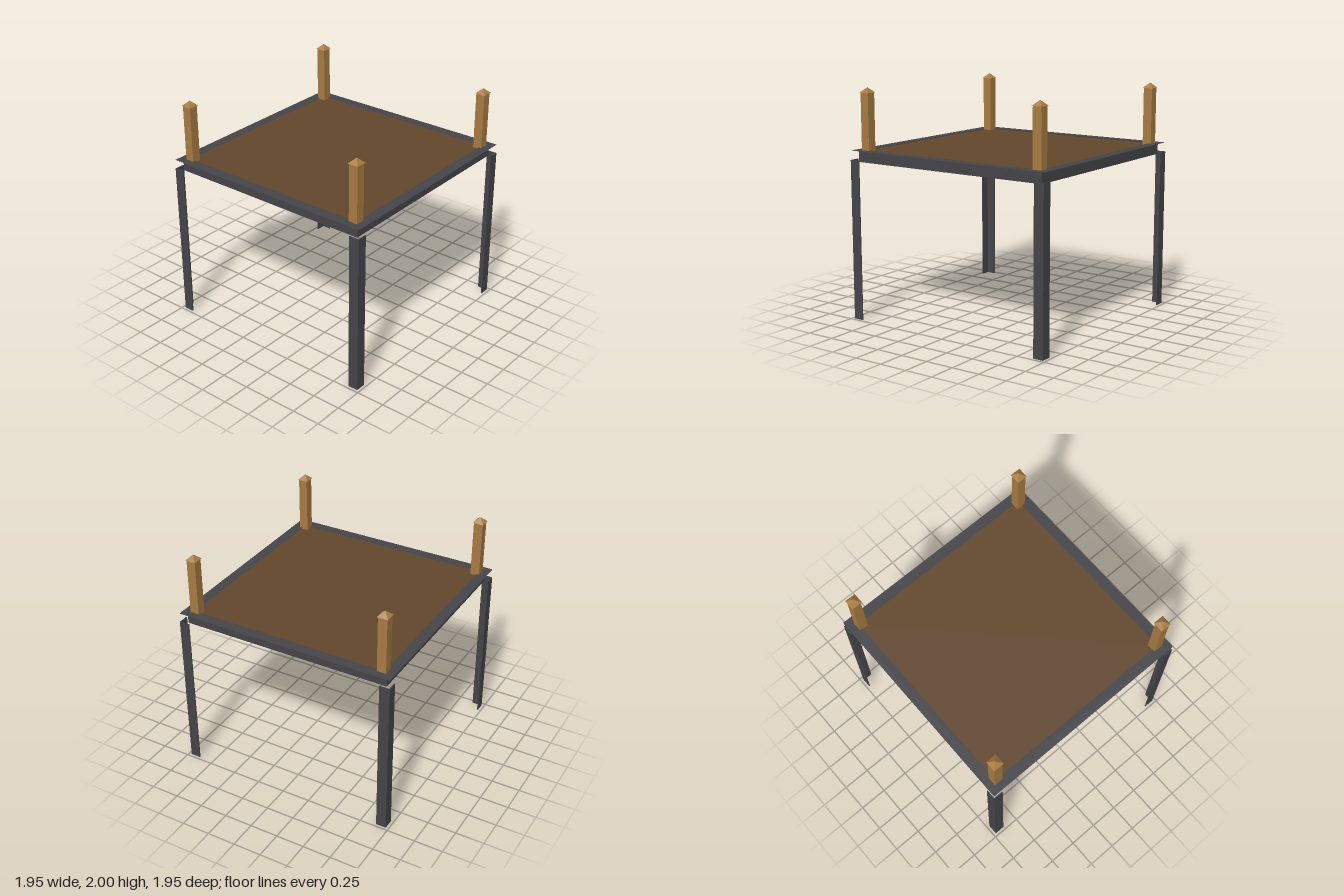
import * as THREE from 'three';

export function createModel() {
  const model = new THREE.Group();
  const mat = (name, color, extra = {}) => {
    const m = new THREE.MeshStandardMaterial({ color, ...extra });
    m.name = name;
    return m;
  };
  const steel = mat('dark steel', 0x454449, { side: THREE.DoubleSide });
  const floorWood = mat('dark wood', 0x61462c);
  const postWood = mat('light wood', 0xa87b42, { flatShading: true });

  const add = (name, geometry, material, parent = model) => {
    const mesh = new THREE.Mesh(geometry, material);
    mesh.name = name;
    parent.add(mesh);
    return mesh;
  };
  const polygon = (points) => new THREE.Shape(points.map(([x, y]) => new THREE.Vector2(x, y)));
  const square = (r) => [[-r, -r], [r, -r], [r, r], [-r, r]];

  // Flat top flange: a square ring around the platform
  const ring = polygon(square(0.973));
  ring.holes.push(polygon(square(0.88)));
  const flange = add('rimFlange', new THREE.ShapeGeometry(ring), steel);
  flange.rotation.x = -Math.PI / 2;
  flange.position.y = 1.47;

  // Wooden platform inside the steel webs
  add('platform', new THREE.BoxGeometry(1.842, 0.082, 1.842), floorWood).position.y = 1.417;

  // Angle-iron leg section, heel at the outer corner
  const a = 0.885, b = 0.975, t = 0.008;
  const angle = polygon([[b, -b], [b, -a], [b - t, -a], [b - t, -b + t], [a, -b + t], [a, -b]]);
  const legGeo = new THREE.ExtrudeGeometry(angle, { depth: 1.39, bevelEnabled: false });
  legGeo.rotateX(-Math.PI / 2);

  const webGeo = new THREE.BoxGeometry(1.85, 0.1, 0.004);
  const postGeo = new THREE.BoxGeometry(0.08, 0.5, 0.08);
  const capGeo = new THREE.ConeGeometry(0.0475 * Math.SQRT2, 0.045, 4);
  capGeo.rotateY(Math.PI / 4);

  // Each quarter turn carries one rim web, leg and corner post
  for (let i = 0; i < 4; i++) {
    const side = new THREE.Group();
    side.name = 'quarter' + (i + 1);
    side.rotation.y = (i * Math.PI) / 2;
    model.add(side);
    add('rimWeb', webGeo, steel, side).position.set(0, 1.42, 0.923);
    add('leg', legGeo, steel, side);
    add('post', postGeo, postWood, side).position.set(0.867, 1.706, 0.867);
    add('postCap', capGeo, postWood, side).position.set(0.867, 1.9775, 0.867);
  }
  return model;
}
